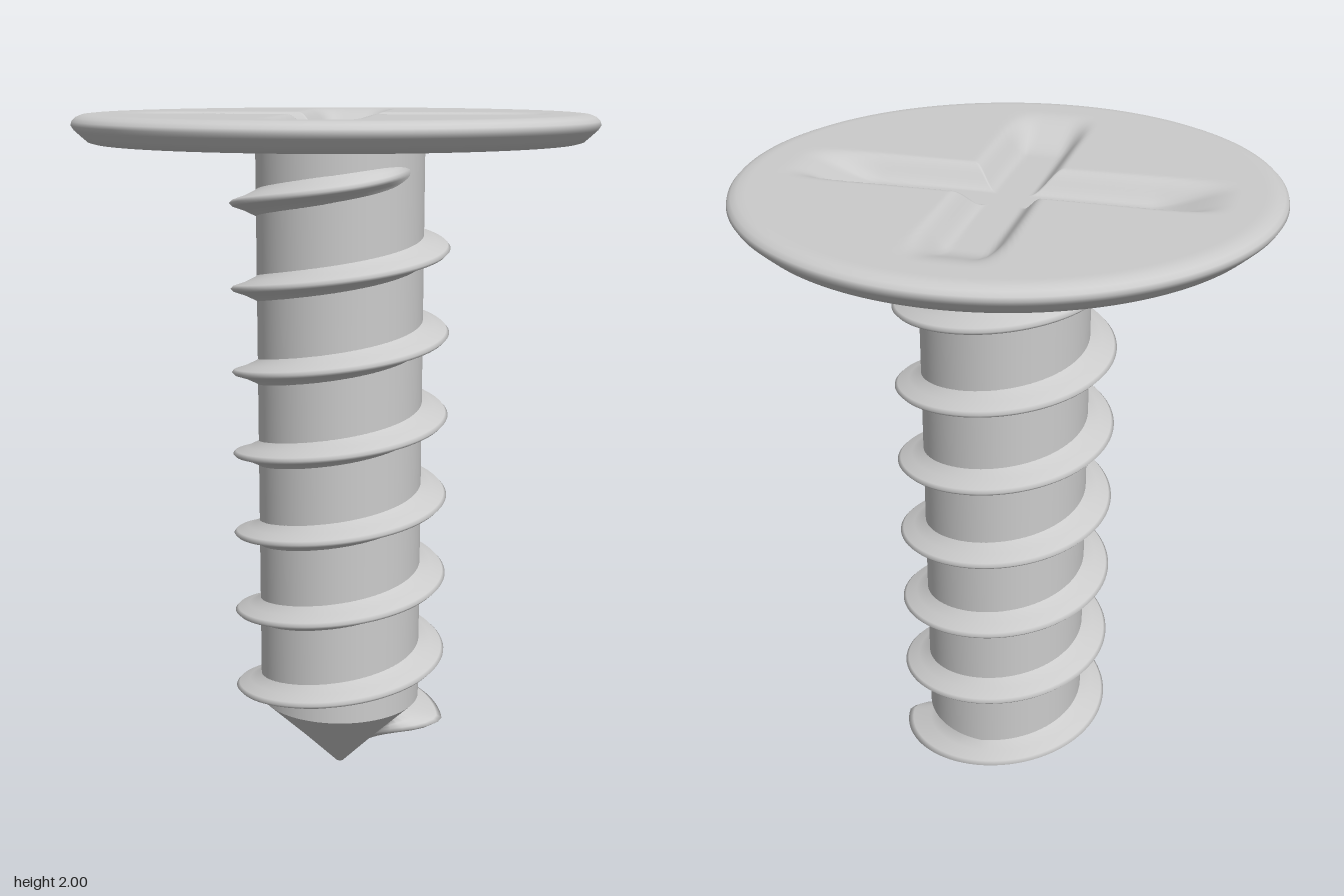
import * as THREE from 'three';
import { mergeVertices } from 'three/addons/utils/BufferGeometryUtils.js';

const AXIS = 0.02;          // shaft sits slightly off the head's centre, in x and z
const CORE = 0.243;         // shaft radius
const THREAD = 0.32;        // thread crest radius
const PITCH = 0.2465;
const grey = new THREE.MeshStandardMaterial({ color: 0xcccccc });

const v2 = (pts) => pts.map(([x, y]) => new THREE.Vector2(x, y));
const smooth = THREE.MathUtils.smoothstep;
const coreRadius = (y) => Math.min(CORE, Math.max(0, y) * 1.03);

function addMesh(parent, name, geometry) {
  const mesh = new THREE.Mesh(geometry, grey);
  mesh.name = name;
  parent.add(mesh);
  return mesh;
}

// Weld the lathe seam so that recomputed normals stay smooth
function weld(geometry) {
  geometry.deleteAttribute('normal');
  geometry.deleteAttribute('uv');
  const welded = mergeVertices(geometry, 1e-5);
  welded.computeVertexNormals();
  return welded;
}

// Depth of the soft cross recess at a point on the head
function recessDepth(x, z) {
  const t = THREE.MathUtils.degToRad(13);
  const u = x * Math.cos(t) - z * Math.sin(t);
  const v = x * Math.sin(t) + z * Math.cos(t);
  const arm = (along, across) =>
    (1 - smooth(Math.abs(across), 0.05, 0.125)) * (1 - smooth(Math.abs(along), 0.38, 0.62));
  return 0.058 * Math.max(arm(u, v), arm(v, u));
}

// Head top: dense lathe, pressed down along the cross
function headTop() {
  const profile = [[0.72, 1.937], [0.742, 1.957], [0.75, 1.97], [0.747, 1.981],
    [0.737, 1.991], [0.72, 1.998], [0.7, 2]];
  for (let i = 1; i <= 56; i++) profile.push([0.7 * (1 - i / 56), 2]);
  const geometry = new THREE.LatheGeometry(v2(profile), 192);
  const p = geometry.attributes.position;
  for (let i = 0; i < p.count; i++) {
    if (p.getY(i) > 1.999) p.setY(i, 2 - recessDepth(p.getX(i), p.getZ(i)));
  }
  return weld(geometry);
}

// Helical thread: a small section swept upwards, fading into the shaft at both ends
function threadGeometry() {
  const section = [[-0.052, 0], [-0.036, 0.1], [-0.02, 0.5], [-0.009, 0.9], [0, 1],
    [0.009, 0.9], [0.02, 0.5], [0.036, 0.1], [0.052, 0]];
  const from = -0.03, to = 7.0, steps = 560, n = section.length;
  const positions = [], index = [];
  for (let i = 0; i <= steps; i++) {
    const turn = from + (to - from) * i / steps;
    const a = turn * Math.PI * 2;
    const fade = smooth(turn, from, 0.06) * (1 - smooth(turn, 6.74, to));
    for (const [dy, out] of section) {
      const y = 0.13 + PITCH * turn + dy;
      const root = 0.97 * coreRadius(y);
      const r = root + (THREAD - root) * out * fade;
      positions.push(r * Math.cos(a), y, -r * Math.sin(a));
    }
  }
  for (let i = 0; i < steps; i++) {
    for (let j = 0; j < n - 1; j++) {
      const a = i * n + j, b = a + n;
      index.push(a, b, a + 1, b, b + 1, a + 1);
    }
  }
  const geometry = new THREE.BufferGeometry();
  geometry.setAttribute('position', new THREE.Float32BufferAttribute(positions, 3));
  geometry.setIndex(index);
  geometry.computeVertexNormals();
  return geometry;
}

export function createModel() {
  const model = new THREE.Group();
  model.name = 'screw';

  // Wide flat head with a bevelled underside
  const head = new THREE.Group();
  head.name = 'head';
  addMesh(head, 'headTop', headTop());
  addMesh(head, 'headBevel', new THREE.LatheGeometry(v2([[0.69, 1.92], [0.705, 1.924], [0.72, 1.937]]), 192));
  addMesh(head, 'headUnderside', new THREE.LatheGeometry(v2([[0, 1.92], [0.69, 1.92]]), 192));
  model.add(head);

  // Shaft, pointed tip and thread
  const shank = new THREE.Group();
  shank.name = 'shank';
  shank.position.set(AXIS, 0, AXIS);
  addMesh(shank, 'shaft', new THREE.LatheGeometry(v2([[CORE, 0.236], [CORE, 1.925]]), 96));
  addMesh(shank, 'tip', new THREE.LatheGeometry(v2([[0, 0], [0.012, 0.007], [0.12, 0.1165], [CORE, 0.236]]), 96));
  addMesh(shank, 'thread', threadGeometry());
  model.add(shank);

  return model;
}
